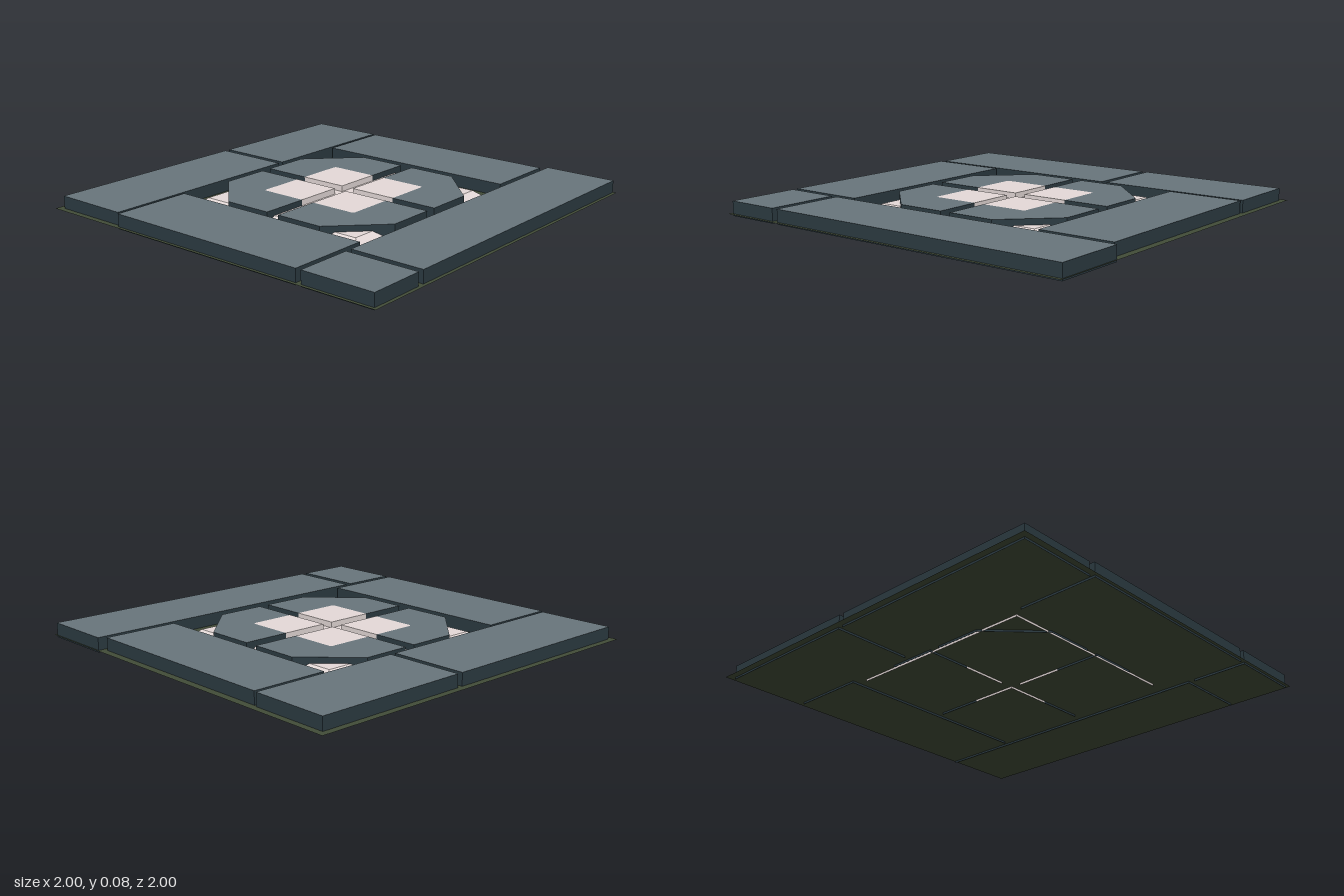
import * as THREE from 'three';

function flatColour(name, color, side = THREE.FrontSide) {
  const material = new THREE.MeshStandardMaterial({ color, side });
  material.name = name;
  return material;
}
const slate = flatColour('slate', 0x68757c);
const darkSlate = flatColour('darkSlate', 0x2c3b42);
const paleStone = flatColour('paleStone', 0xe5dad8);
const moss = flatColour('moss', 0x424c38, THREE.DoubleSide);

const HEIGHT = 0.075;

// Open-bottomed stone over a ground outline of [x, z] points: a top face, and
// a wall below each outline edge whose index is listed
function stone(name, outline, topMaterial, wallMaterial, edges) {
  const group = new THREE.Group();
  group.name = name;

  const points = outline.map(([x, z]) => new THREE.Vector2(x, -z));
  const topGeometry = new THREE.ShapeGeometry(new THREE.Shape(points)).rotateX(-Math.PI / 2);
  const top = new THREE.Mesh(topGeometry, topMaterial);
  top.name = 'topFace';
  top.position.y = HEIGHT;

  const clockwise = THREE.ShapeUtils.isClockWise(points);
  const corners = [];
  for (const i of edges) {
    let a = outline[i];
    let b = outline[(i + 1) % outline.length];
    if (clockwise) [a, b] = [b, a];
    const [a0, b0] = [[a[0], 0, a[1]], [b[0], 0, b[1]]];
    const [a1, b1] = [[a[0], HEIGHT, a[1]], [b[0], HEIGHT, b[1]]];
    corners.push(...a0, ...b0, ...b1, ...a0, ...b1, ...a1);
  }
  const wallGeometry = new THREE.BufferGeometry();
  wallGeometry.setAttribute('position', new THREE.Float32BufferAttribute(corners, 3));
  wallGeometry.computeVertexNormals();
  const walls = new THREE.Mesh(wallGeometry, wallMaterial);
  walls.name = 'walls';

  group.add(top, walls);
  return group;
}

export function createModel() {
  const group = new THREE.Group();
  group.name = 'pavedFloorTile';

  // Ground sheet, just above the open undersides of the stones
  const ground = new THREE.Mesh(new THREE.PlaneGeometry(2, 2).rotateX(-Math.PI / 2), moss);
  ground.name = 'groundSheet';
  ground.position.y = 0.011;
  group.add(ground);

  // Border slabs: x0, x1, z0, z1
  const slabs = [
    ['backLongSlab', -0.97, 0.141, -0.966, -0.56],
    ['backShortSlab', 0.169, 0.967, -0.966, -0.56],
    ['rightSlab', -0.984, -0.565, -0.543, 0.571],
    ['leftSlab', 0.568, 0.962, -0.543, 0.571],
    ['frontShortSlab', -0.984, -0.694, 0.599, 0.982],
    ['frontLongSlab', -0.661, 0.993, 0.599, 0.982],
  ];
  for (const [name, x0, x1, z0, z1] of slabs) {
    const outline = [[x0, z0], [x0, z1], [x1, z1], [x1, z0]];
    group.add(stone(name, outline, slate, darkSlate, [0, 1, 2, 3]));
  }

  // Low square plinth with bevelled rim
  const r = Math.SQRT2;
  const profile = [[0.508 * r, 0], [0.508 * r, 0.016], [0.47 * r, 0.045], [0, 0.045]]
    .map(([x, y]) => new THREE.Vector2(x, y));
  const plinthGeometry = new THREE.LatheGeometry(profile, 4, Math.PI / 4).toNonIndexed();
  plinthGeometry.computeVertexNormals();
  const plinth = new THREE.Mesh(plinthGeometry, paleStone);
  plinth.name = 'plinth';
  group.add(plinth);

  // Octagon of four quarters around a cross-shaped channel, each with a pale inset
  const [inX, inZ] = [0.028, 0.035];
  const [outX, outZ] = [0.523, 0.533];
  const [cutX, cutZ] = [0.28, 0.291];
  const [midX, midZ] = [0.275, 0.286];
  const soft = 0.012;
  const corner = [
    [midX, midZ - soft], [midX - soft * 0.3, midZ - soft * 0.3], [midX - soft, midZ],
  ];
  const quarter = [
    [midX, inZ], [outX, inZ], [outX, cutZ], [cutX, outZ], [inX, outZ], [inX, midZ],
    ...corner.slice().reverse(),
  ];
  const inset = [[inX, inZ], [midX, inZ], ...corner, [inX, midZ]];
  for (const sx of [-1, 1]) {
    for (const sz of [-1, 1]) {
      const place = ([x, z]) => [sx * x + 0.004, sz * z + 0.009];
      const side = (sz > 0 ? 'front' : 'back') + (sx > 0 ? 'Left' : 'Right');
      // Walls stand only on the exposed edges, not between quarter and inset
      group.add(stone(side + 'Quarter', quarter.map(place), slate, darkSlate, [0, 1, 2, 3, 4]));
      group.add(stone(side + 'Inset', inset.map(place), paleStone, paleStone, [0, 5]));
    }
  }
  return group;
}
